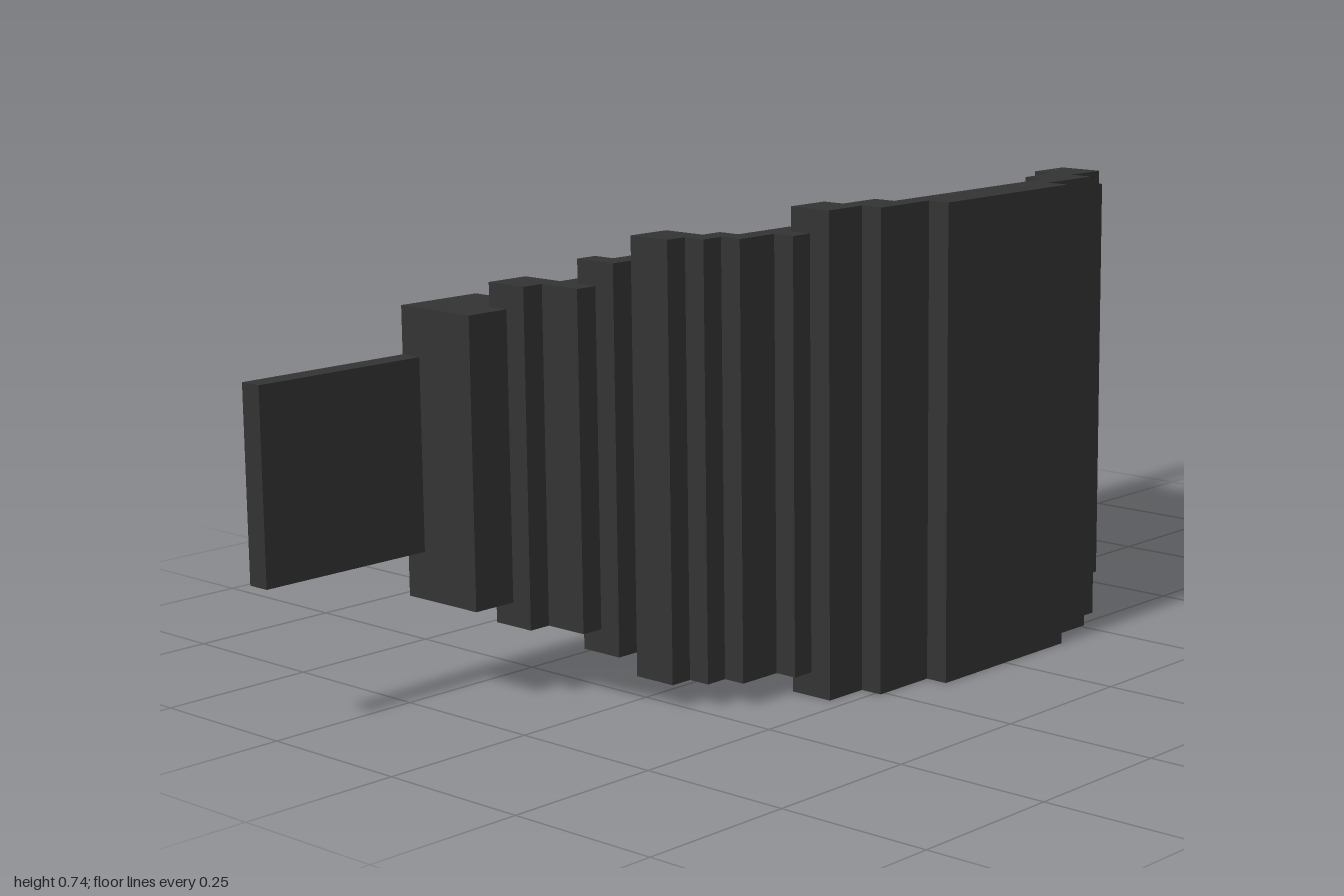
import * as THREE from 'three';

// One grid cell; the model is 54 cells wide, 20 tall and 16 deep.
const U = 2 / 54;

export function createModel() {
  const model = new THREE.Group();
  model.name = 'curvedPanel';
  const charcoal = new THREE.MeshStandardMaterial({ color: 0x333333 });
  charcoal.name = 'charcoal';

  // Box spanning cell ranges, vertically centred with the given bottom inset
  function slab(name, x0, x1, z0, z1, inset) {
    const geo = new THREE.BoxGeometry((x1 - x0) * U, (20 - 2 * inset) * U, (z1 - z0) * U);
    const mesh = new THREE.Mesh(geo, charcoal);
    mesh.name = name;
    mesh.position.set(((x0 + x1) / 2) * U, 10 * U, ((z0 + z1) / 2) * U);
    model.add(mesh);
  }

  // Front plate: a wide outer layer and a slightly wider backing layer
  slab('frontPlate', -4, 4, 7, 8, 0);
  slab('frontBacking', -7, 7, 6, 7, 0);

  // Stepped side wall: [x0, x1, z0, z1, inset], shrinking towards the back
  const wall = [
    [5, 7, 5, 6, 0],
    [7, 9, 4, 6, 0],
    [8, 10, 3, 5, 1],
    [10, 12, 3, 4, 1],
    [11, 13, 2, 3, 1],
    [12, 14, 0, 2, 1],
    [13, 14, -1, 1, 2],
    [14, 15, -2, 0, 2],
    [14, 16, -3, -1, 3],
    [15, 17, -5, -3, 3],
  ];

  for (const side of [1, -1]) {
    const label = side > 0 ? 'left' : 'right';
    const mirrored = (name, a, b, z0, z1, inset) =>
      slab(label + name, Math.min(a * side, b * side), Math.max(a * side, b * side), z0, z1, inset);
    wall.forEach((w, i) => mirrored('WallStep' + (i + 1), ...w));
    mirrored('EndBlock', 15, 19, -8, -4, 4);
    mirrored('MountingTab', 19, 27, -8, -7, 6);
  }
  return model;
}
